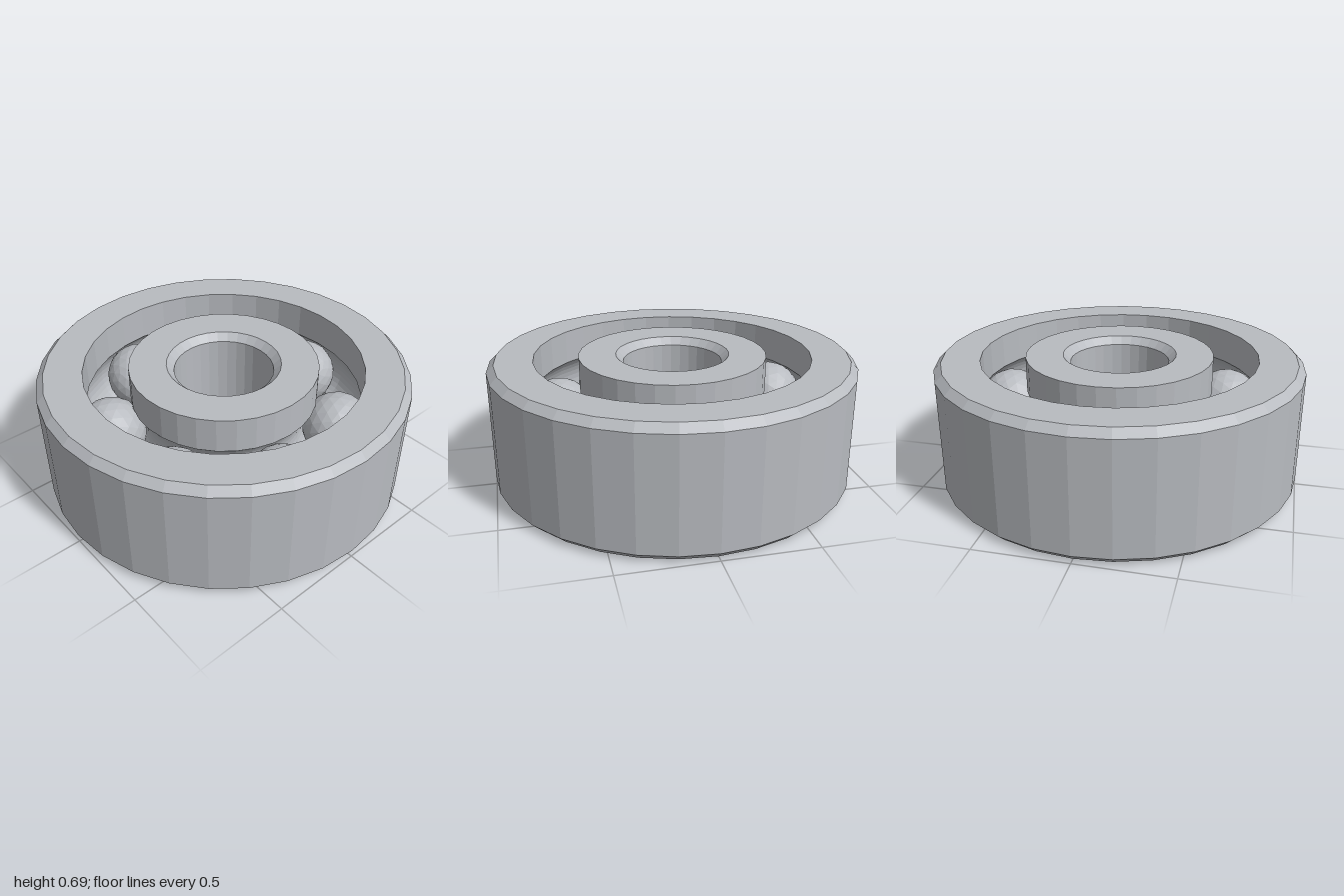
import * as THREE from 'three';

const HEIGHT = 0.69, MID = HEIGHT / 2, CHAMFER = 0.04, SIDES = 32;
const PITCH = 0.635;    // radius of the circle the balls sit on
const BALL = 0.19, GROOVE = 0.195, BALLS = 7;

// Points of the ball groove, cut into a wall at radius wallR
function groove(wallR, goingUp) {
  const offset = wallR - PITCH;
  const half = Math.acos(Math.abs(offset) / GROOVE);
  const steps = 12, points = [];
  for (let i = 0; i <= steps; i++) {
    const a = (goingUp ? -half : half) * (1 - (2 * i) / steps) * -1 * -1;
    points.push([PITCH + Math.sign(offset) * GROOVE * Math.cos(a), MID + GROOVE * Math.sin(a)]);
  }
  return points;
}

// Revolve a closed counter-clockwise profile into a faceted ring
function ring(profile, material, name) {
  const points = [...profile, profile[0]].map(([r, y]) => new THREE.Vector2(r, y));
  const geometry = new THREE.LatheGeometry(points, SIDES).toNonIndexed();
  geometry.computeVertexNormals();
  const mesh = new THREE.Mesh(geometry, material);
  mesh.name = name;
  return mesh;
}

export function createModel() {
  const model = new THREE.Group();
  model.name = 'ballBearing';
  const steel = new THREE.MeshStandardMaterial({ color: 0xb8bbc0, flatShading: true });
  steel.name = 'steel';

  // Outer ring: chamfered outside, grooved inside
  const outerR = 1, outerBore = 0.755;
  model.add(ring([
    [outerBore, 0], [outerR - CHAMFER, 0], [outerR, CHAMFER],
    [outerR, HEIGHT - CHAMFER], [outerR - CHAMFER, HEIGHT], [outerBore, HEIGHT],
    ...groove(outerBore, false),
  ], steel, 'outerRing'));

  // Inner ring: grooved outside, chamfered bore
  const innerR = 0.513, bore = 0.27;
  model.add(ring([
    [bore + CHAMFER, 0], [innerR, 0],
    ...groove(innerR, true),
    [innerR, HEIGHT], [bore + CHAMFER, HEIGHT], [bore, HEIGHT - CHAMFER], [bore, CHAMFER],
  ], steel, 'innerRing'));

  // Balls, evenly spaced between the rings
  const ballGeometry = new THREE.IcosahedronGeometry(BALL, 3);
  const balls = new THREE.Group();
  balls.name = 'balls';
  for (let i = 0; i < BALLS; i++) {
    const a = (i / BALLS) * Math.PI * 2;
    const ball = new THREE.Mesh(ballGeometry, steel);
    ball.name = 'ball' + (i + 1);
    ball.position.set(PITCH * Math.cos(a), MID, PITCH * Math.sin(a));
    ball.rotation.y = -a;
    balls.add(ball);
  }
  model.add(balls);
  return model;
}
